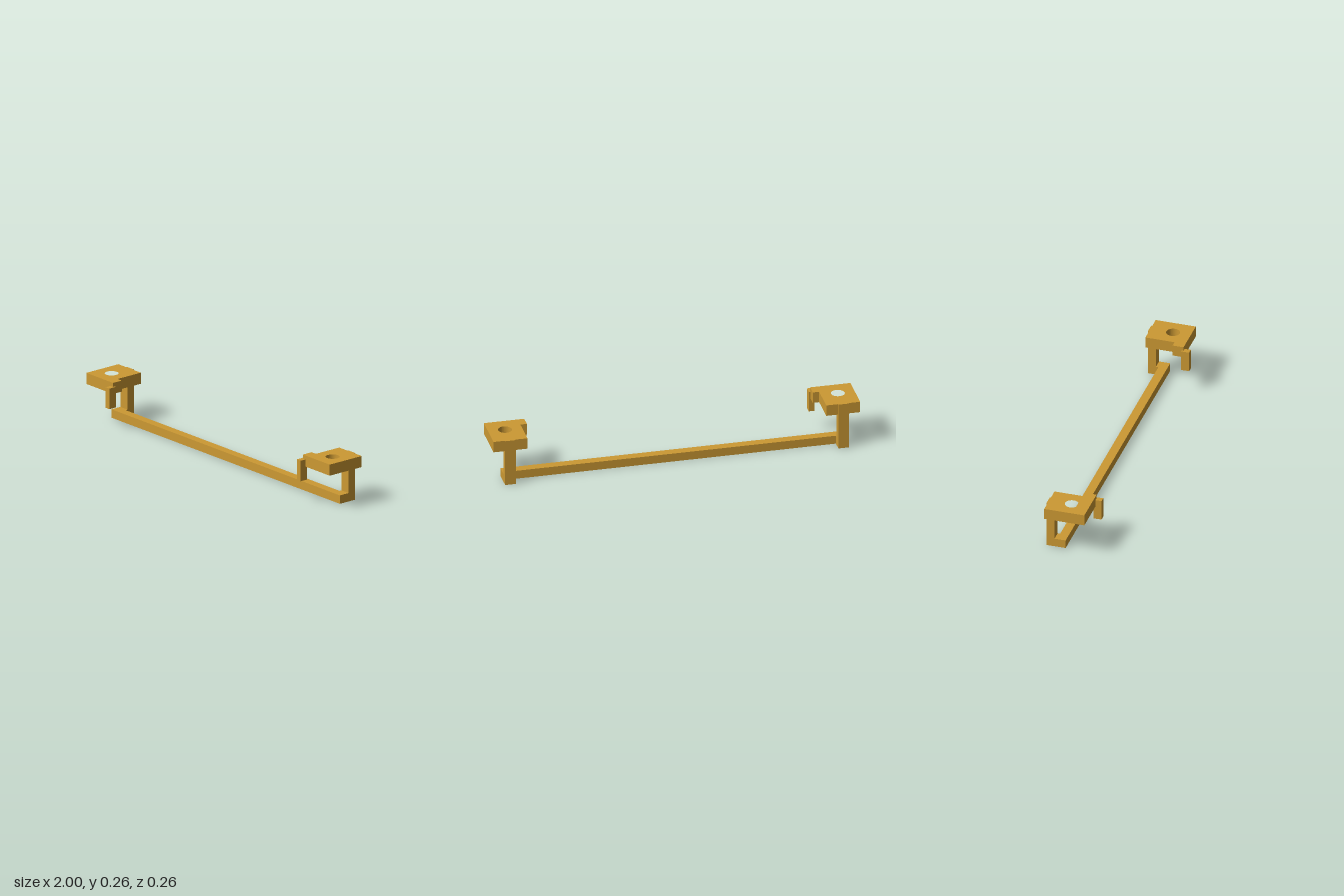
import * as THREE from 'three';

const material = new THREE.MeshStandardMaterial({ color: 0xcc9933 });

// Box given by its min and max corners
function block(name, [x0, y0, z0], [x1, y1, z1]) {
  const geometry = new THREE.BoxGeometry(x1 - x0, y1 - y0, z1 - z0);
  geometry.translate((x0 + x1) / 2, (y0 + y1) / 2, (z0 + z1) / 2);
  const mesh = new THREE.Mesh(geometry, material);
  mesh.name = name;
  return mesh;
}

// Same box, placed on the side given by the sign s
function sideBlock(name, s, xIn, xOut, y0, y1, z0, z1) {
  return block(name, [Math.min(s * xIn, s * xOut), y0, z0], [Math.max(s * xIn, s * xOut), y1, z1]);
}

// Mounting plate with inner tab and screw hole, drawn as (x, -z)
function mountingPlate(s) {
  const outline = [
    [1, -0.098], [1, 0.125], [0.815, 0.125], [0.815, -0.037], [0.78, -0.037], [0.78, -0.098],
  ];
  const shape = new THREE.Shape(outline.map(([x, y]) => new THREE.Vector2(s * x, y)));
  shape.holes.push(new THREE.Path().absarc(s * 0.908, 0, 0.037, 0, Math.PI * 2, true));
  const geometry = new THREE.ExtrudeGeometry(shape, { depth: 0.062, bevelEnabled: false, curveSegments: 32 });
  geometry.rotateX(-Math.PI / 2).translate(0, 0.2, 0);
  const mesh = new THREE.Mesh(geometry, material);
  mesh.name = 'mountingPlate';
  return mesh;
}

export function createModel() {
  const model = new THREE.Group();
  model.name = 'mountingBracket';

  // Long bar joining both ends
  model.add(block('crossBar', [-0.938, 0, -0.073], [0.938, 0.047, -0.025]));

  for (const s of [-1, 1]) {
    const end = new THREE.Group();
    end.name = s > 0 ? 'leftEnd' : 'rightEnd';
    end.add(
      mountingPlate(s),
      sideBlock('post', s, 0.88, 0.938, 0, 0.262, -0.131, -0.087),
      sideBlock('foot', s, 0.88, 0.938, 0, 0.047, -0.087, -0.073),
      sideBlock('hook', s, 0.77, 0.801, 0.125, 0.24, 0.087, 0.132),
    );
    model.add(end);
  }
  return model;
}
